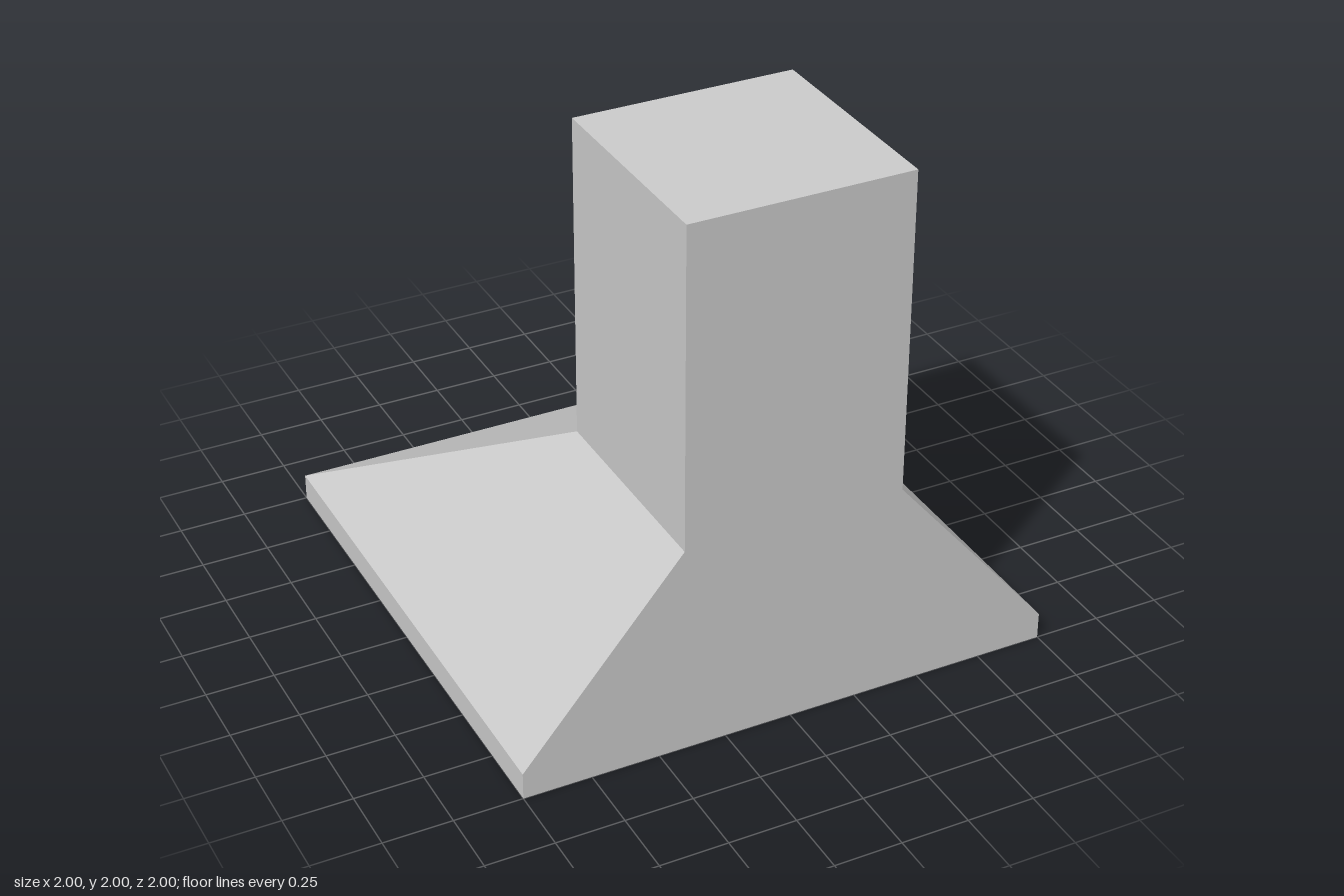
import * as THREE from 'three';

const material = new THREE.MeshStandardMaterial({ color: 0xcccccc, flatShading: true });
const FRONT = 1; // all parts are flush with this plane

// Four-sided section from a lower to an upper rectangle { y, half, back }.
// hidden lists box faces to leave out (2 = top, 3 = bottom).
function section(name, lower, upper, hidden) {
  const geometry = new THREE.BoxGeometry(2, 2, 2);
  const pos = geometry.attributes.position;
  for (let i = 0; i < pos.count; i++) {
    const ring = pos.getY(i) > 0 ? upper : lower;
    pos.setXYZ(i, pos.getX(i) * ring.half, ring.y, pos.getZ(i) > 0 ? FRONT : ring.back);
  }
  const index = Array.from(geometry.index.array);
  geometry.setIndex(index.filter((_, i) => !hidden.includes(Math.floor(i / 6))));
  geometry.clearGroups();
  geometry.computeVertexNormals();
  const mesh = new THREE.Mesh(geometry, material);
  mesh.name = name;
  return mesh;
}

export function createModel() {
  const group = new THREE.Group();
  group.name = 'rangeHood';

  const base = { y: 0, half: 1, back: -1 };
  const rimTop = { y: 0.1, half: 1, back: -1 };
  const neck = { y: 0.8, half: 0.408, back: 0.184 };
  const top = { ...neck, y: 2 };

  group.add(
    section('rim', base, rimTop, [2]),       // flat slab with closed underside
    section('canopy', rimTop, neck, [2, 3]), // sloped sides and back
    section('chimney', neck, top, [3]),      // square duct
  );
  return group;
}
